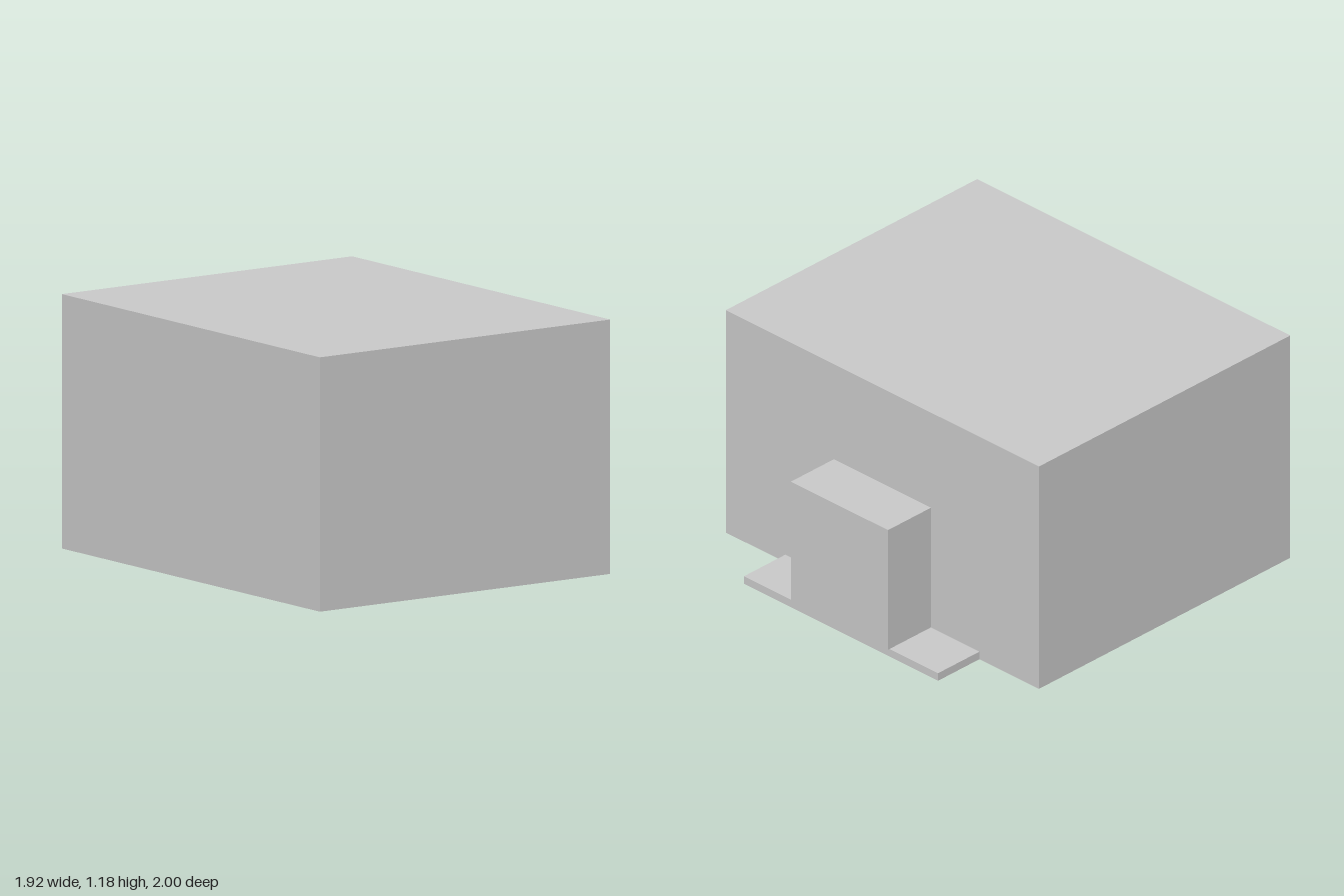
import * as THREE from 'three';

const material = new THREE.MeshStandardMaterial({ color: 0xcccccc, flatShading: true });

// Box given by its lower and upper corners
function box(name, [x0, y0, z0], [x1, y1, z1]) {
  const geometry = new THREE.BoxGeometry(x1 - x0, y1 - y0, z1 - z0);
  const mesh = new THREE.Mesh(geometry, material);
  mesh.position.set((x0 + x1) / 2, (y0 + y1) / 2, (z0 + z1) / 2);
  mesh.name = name;
  return mesh;
}

export function createModel() {
  const model = new THREE.Group();
  model.name = 'building';
  const wallX = 0.68;

  // Main volume
  model.add(box('mainBlock', [-0.96, 0, -1], [wallX, 1.18, 1]));

  // Low step along the left wall
  model.add(box('entranceStep', [wallX, 0, -0.62], [0.95, 0.04, 0.62]));

  // Porch block on the step, overhanging it slightly
  model.add(box('entrancePorch', [wallX, 0.04, -0.31], [0.96, 0.675, 0.31]));

  return model;
}
